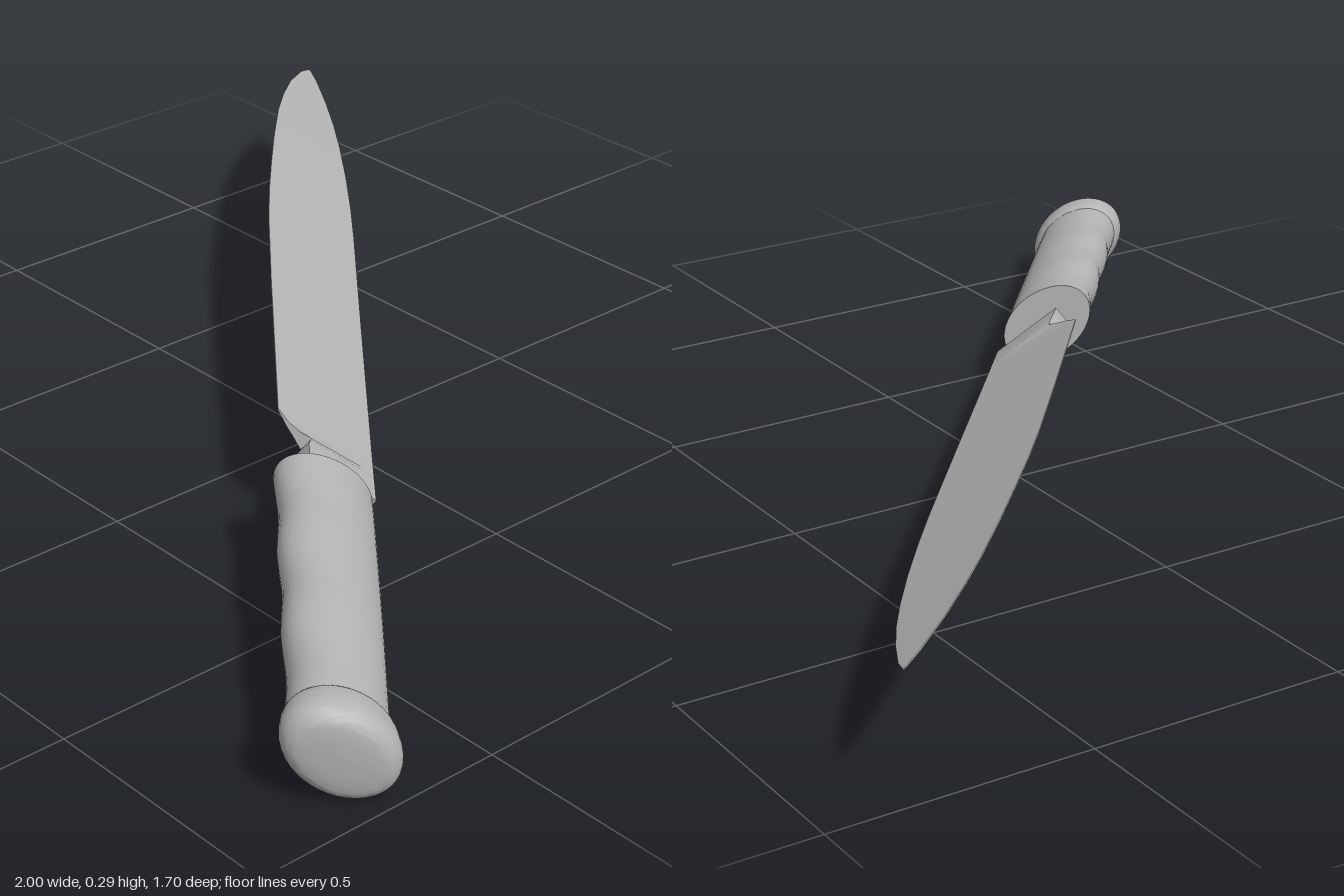
import * as THREE from 'three';
import { toCreasedNormals } from 'three/addons/utils/BufferGeometryUtils.js';

const steel = new THREE.MeshStandardMaterial({ color: 0xb4b4b4 });
steel.name = 'grey';

// Skins a list of rings {s, pts: [[v, n], ...]}; s runs along the knife, caps close both ends
function loft(rings, crease) {
  const count = rings[0].pts.length, pos = [], idx = [];
  for (const r of rings) for (const [v, n] of r.pts) pos.push(r.s, v, n);
  for (let i = 0; i < rings.length - 1; i++) {
    for (let j = 0; j < count; j++) {
      const a = i * count + j, b = i * count + (j + 1) % count;
      idx.push(a, b, b + count, a, b + count, a + count);
    }
  }
  const last = (rings.length - 1) * count;
  for (let j = 1; j < count - 1; j++) {
    idx.push(0, j + 1, j, last, last + j, last + j + 1);
  }
  const g = new THREE.BufferGeometry();
  g.setAttribute('position', new THREE.Float32BufferAttribute(pos, 3));
  g.setIndex(idx);
  return toCreasedNormals(g, crease);
}

// Oval ring: separate half widths towards the spine and the edge, half thickness b
function oval(s, spine, edge, b, sides = 40) {
  const pts = [];
  for (let j = 0; j < sides; j++) {
    const t = (j / sides) * Math.PI * 2, c = Math.cos(t);
    pts.push([c * (c > 0 ? spine : edge), Math.sin(t) * b]);
  }
  return { s, pts };
}

function smooth(points, divisions) {
  return new THREE.CatmullRomCurve3(points.map(p => new THREE.Vector3(...p))).getPoints(divisions);
}

export function createModel() {
  const model = new THREE.Group();
  model.name = 'knife';
  const body = new THREE.Group();
  body.name = 'tiltedKnife';
  model.add(body);

  const add = (name, geometry) => {
    const mesh = new THREE.Mesh(geometry, steel);
    mesh.name = name;
    body.add(mesh);
  };

  // Blade: wedge from a thick spine to a thin edge, with a notch and square heel
  // [s, spine v, edge v, spine thickness, edge thickness]
  const stations = [
    [-1.329, 0.045, 0.039, 0.003, 0.002],
    [-1.29, 0.060, 0.016, 0.006, 0.002],
    [-1.2, 0.080, -0.018, 0.013, 0.002],
    [-1.1, 0.096, -0.043, 0.019, 0.002],
    [-1.0, 0.106, -0.061, 0.024, 0.002],
    [-0.86, 0.114, -0.077, 0.030, 0.002],
    [-0.72, 0.117, -0.089, 0.035, 0.002],
    [-0.58, 0.116, -0.099, 0.040, 0.002],
    [-0.44, 0.113, -0.104, 0.043, 0.002],
    [-0.2, 0.110, -0.105, 0.045, 0.002],
    [0.28, 0.107, -0.102, 0.045, 0.002],
    [0.31, 0.107, -0.082, 0.045, 0.008],
    [0.328, 0.107, -0.058, 0.045, 0.018],
    [0.338, 0.107, -0.037, 0.045, 0.032],
    [0.355, 0.107, -0.044, 0.045, 0.042],
    [0.375, 0.107, -0.050, 0.045, 0.045],
    [0.418, 0.107, -0.051, 0.045, 0.045],
  ];
  add('blade', loft(stations.map(([s, sp, ed, t, e]) => ({
    s, pts: [[sp, -t / 2], [sp, t / 2], [ed, e / 2], [ed, -e / 2]],
  })), 0.4));

  // Grip: oval section with shallow finger swells on the edge side
  const grip = [];
  for (let i = 0; i <= 40; i++) {
    const f = i / 40, s = 0.462 + f * 0.69;
    const edge = 0.101 - 0.006 * f + 0.004 * Math.cos(f * Math.PI * 6);
    const spine = 0.099 - 0.012 * f * f;
    grip.push(oval(s, spine, edge, 0.069 + 0.003 * f));
  }
  add('grip', loft(grip, 0.6));

  // Pommel: flared collar with a rounded end, [s, half width, half thickness]
  const profile = smooth([
    [1.125, 0.086, 0.068], [1.137, 0.1, 0.077], [1.155, 0.107, 0.081], [1.185, 0.11, 0.083],
    [1.205, 0.104, 0.078], [1.217, 0.09, 0.067], [1.223, 0.065, 0.048], [1.226, 0.01, 0.008],
  ], 28);
  add('pommel', loft(profile.map(p => oval(p.x, p.y, p.y, p.z)), 0.8));

  // Lay the knife diagonally with its blade tilted
  const L = new THREE.Vector3(0.772, -0.07, 0.632).normalize();
  const N = new THREE.Vector3(0.445, 0.77, -0.458);
  const W = N.clone().cross(L).normalize();
  N.crossVectors(L, W);
  const origin = W.clone().multiplyScalar(-0.117).addScaledVector(N, 0.133);
  body.applyMatrix4(new THREE.Matrix4().makeBasis(L, W, N).setPosition(origin));
  return model;
}
